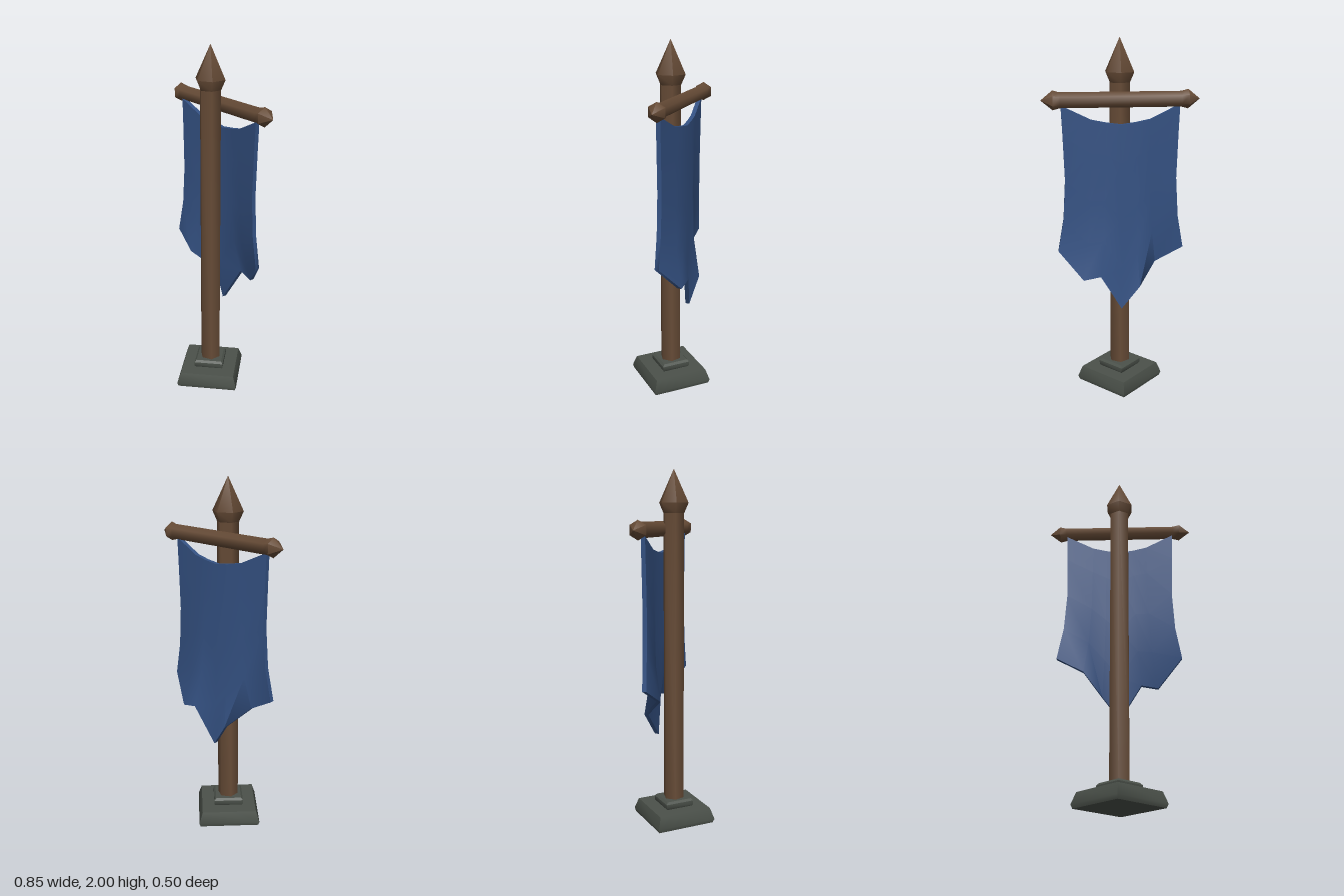
import * as THREE from 'three';
import { toCreasedNormals } from 'three/addons/utils/BufferGeometryUtils.js';

const material = (name, color) => {
  const m = new THREE.MeshStandardMaterial({ color });
  m.name = name;
  return m;
};

// Turned solid with few sides, from [radius, height] pairs
function turned(profile, sides, crease) {
  const points = profile.map(([r, y]) => new THREE.Vector2(r, y));
  return toCreasedNormals(new THREE.LatheGeometry(points, sides), crease);
}

// Hanging cloth: a thick sheet stretched between a top and a bottom line
function clothGeometry() {
  const top = [[-0.32, 1.65, -0.055], [-0.16, 1.575, -0.072], [-0.08, 1.56, -0.08], [0, 1.55, -0.083],
    [0.08, 1.56, -0.08], [0.16, 1.575, -0.072], [0.32, 1.65, -0.055]];
  const bottom = [[-0.355, 0.84, -0.04], [-0.2, 0.75, -0.018], [-0.1, 0.64, -0.13], [0, 0.5, -0.105],
    [0.12, 0.71, -0.14], [0.215, 0.69, -0.134], [0.35, 0.84, -0.055]];
  // Per row: fraction down, width change, share of the bottom fold depth
  const rows = [[0, 1, 0], [0.2, 0.96, 0.05], [0.5, 0.91, 0.14], [0.77, 0.925, 0.36], [1, 1, 1]];
  const cols = top.length, count = cols * rows.length, half = 0.012;
  const positions = [], index = [];
  for (const side of [half, -half]) {
    for (const [t, width, fold] of rows) {
      for (let i = 0; i < cols; i++) {
        const a = top[i], b = bottom[i], mix = THREE.MathUtils.lerp;
        positions.push(mix(a[0], b[0], t) * width, mix(a[1], b[1], t), mix(a[2], b[2], fold) + side);
      }
    }
  }
  // Front and back sheets
  for (let j = 0; j < rows.length - 1; j++) {
    for (let i = 0; i < cols - 1; i++) {
      const a = j * cols + i, b = a + 1, c = a + cols, d = c + 1;
      index.push(a, c, d, a, d, b);
      index.push(a + count, d + count, c + count, a + count, b + count, d + count);
    }
  }
  // Rim that joins the sheets
  const rim = [], last = rows.length - 1;
  for (let j = 0; j < last; j++) rim.push(j * cols);
  for (let i = 0; i < cols - 1; i++) rim.push(last * cols + i);
  for (let j = last; j > 0; j--) rim.push(j * cols + cols - 1);
  for (let i = cols - 1; i > 0; i--) rim.push(i);
  rim.forEach((p, k) => {
    const q = rim[(k + 1) % rim.length];
    index.push(p, p + count, q + count, p, q + count, q);
  });
  const geometry = new THREE.BufferGeometry();
  geometry.setAttribute('position', new THREE.Float32BufferAttribute(positions, 3));
  geometry.setIndex(index);
  return toCreasedNormals(geometry, 1);
}

export function createModel() {
  const group = new THREE.Group();
  group.name = 'bannerStand';
  const wood = material('wood', 0x664b36);
  const stone = material('stone', 0x4b514a);
  const blue = material('blueCloth', 0x345182);
  const add = (name, geometry, mat) => {
    const mesh = new THREE.Mesh(geometry, mat);
    mesh.name = name;
    group.add(mesh);
    return mesh;
  };

  // Stepped square foot with its corners on the axes
  add('base', turned([[0, 0], [0.24, 0], [0.25, 0.022], [0.222, 0.085], [0, 0.085]], 4, 0.7), stone);
  add('baseStep', turned([[0.105, 0.08], [0.12, 0.095], [0.12, 0.118], [0.105, 0.13], [0, 0.13]], 4, 0.7), stone);

  // Six-sided pole with a pointed head
  add('pole', turned([[0.06, 0.1], [0.06, 1.77]], 6, 1.2), wood);
  add('poleHead', turned([[0.06, 1.765], [0.085, 1.82], [0, 2]], 6, 1.2), wood);

  // Crossbar behind the pole, pointed at both ends
  const bar = turned([[0, -0.425], [0.052, -0.362], [0.042, -0.325], [0.042, 0.325], [0.052, 0.362], [0, 0.425]], 6, 1.2);
  bar.rotateY(Math.PI / 2).rotateZ(Math.PI / 2);
  add('crossbar', bar, wood).position.set(0, 1.68, -0.065);

  add('banner', clothGeometry(), blue);
  return group;
}
